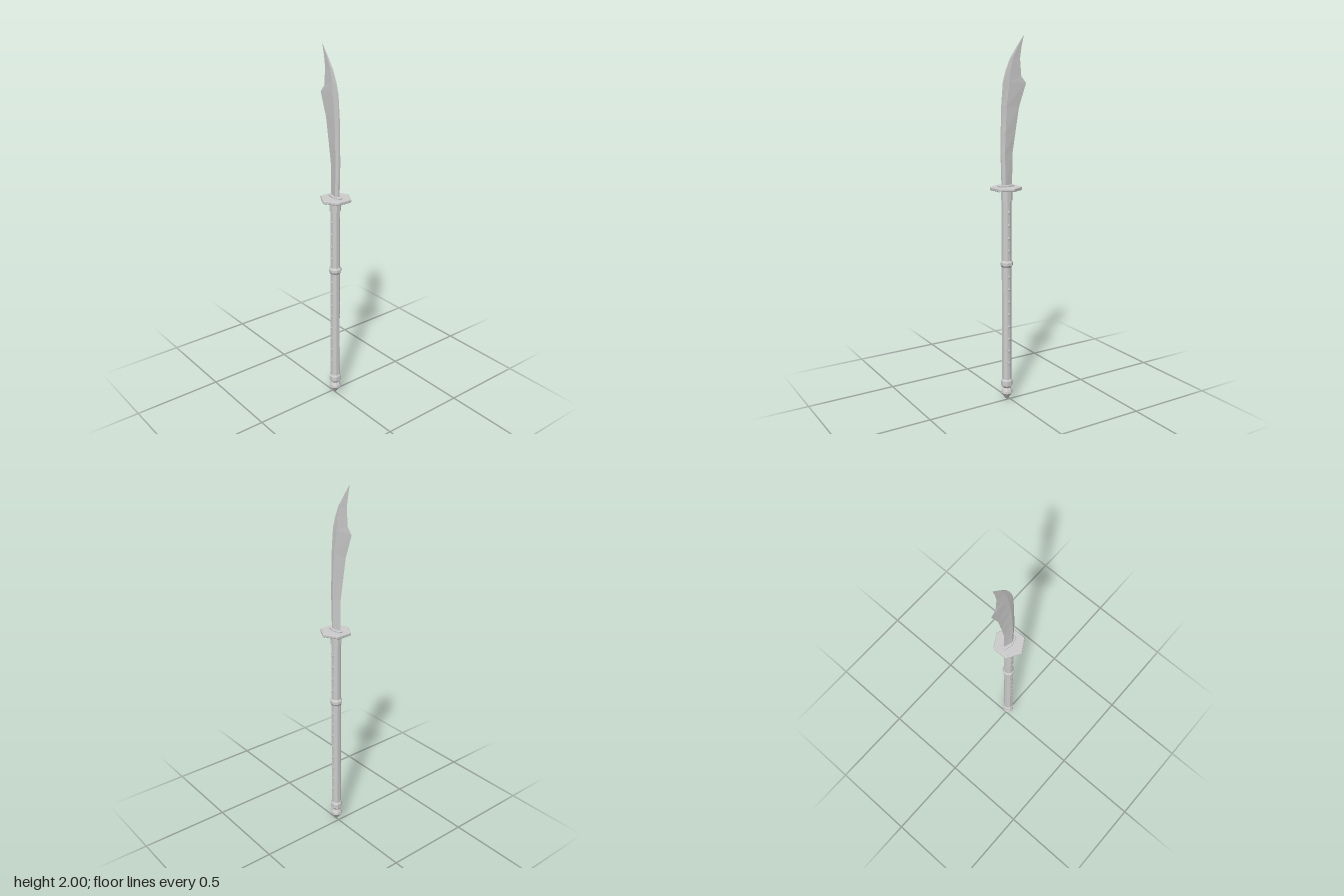
import * as THREE from 'three';

const CX = 0.021; // shaft axis

const material = new THREE.MeshStandardMaterial({ color: 0xcccccc, flatShading: true });

function addMesh(parent, name, geometry, x = 0, y = 0, z = 0) {
  const mesh = new THREE.Mesh(geometry, material);
  mesh.name = name;
  mesh.position.set(x, y, z);
  parent.add(mesh);
  return mesh;
}

// Octagonal turned part with a flat facing front; radii are measured to the flats
function octagonal(profile) {
  const k = 1 / Math.cos(Math.PI / 8);
  const points = profile.map(([r, y]) => new THREE.Vector2(r * k, y));
  return new THREE.LatheGeometry(points, 8, Math.PI / 8);
}

// Horizontal plate from an x/z outline, with its base at y = 0
function plate(outline, height, bevel) {
  const shape = new THREE.Shape(outline.map(([x, z]) => new THREE.Vector2(x, -z)));
  const geometry = new THREE.ExtrudeGeometry(shape, {
    depth: height - 2 * bevel, bevelEnabled: bevel > 0, bevelSegments: 1,
    bevelThickness: bevel, bevelSize: bevel, bevelOffset: -bevel,
  });
  return geometry.translate(0, 0, bevel).rotateX(-Math.PI / 2);
}

// Blade lofted from five-sided sections: edge, ridge and spine on each side
function bladeGeometry() {
  // edge x, edge y, spine x, spine y, half thickness at the ridge
  const rows = [
    [-0.013, 1.205, 0.049, 1.205, 0.013],
    [-0.017, 1.395, 0.055, 1.395, 0.012],
    [-0.034, 1.5, 0.054, 1.5, 0.011],
    [-0.056, 1.63, 0.051, 1.64, 0.009],
    [-0.1, 1.755, 0.041, 1.765, 0.007],
    [-0.07, 1.79, 0.025, 1.82, 0.006],
    [-0.062, 1.88, 0, 1.88, 0.004],
    [-0.071, 1.94, -0.043, 1.943, 0.002],
    [-0.085, 2, -0.085, 2, 0],
  ];
  const section = [[0, 0], [0.76, 1], [1, 0.45], [1, -0.45], [0.76, -1]];
  const n = section.length;
  const positions = [], index = [];
  for (const [ex, ey, sx, sy, t] of rows) {
    for (const [u, w] of section) {
      positions.push(ex + (sx - ex) * u, ey + (sy - ey) * u, t * w);
    }
  }
  for (let r = 0; r < rows.length - 1; r++) {
    for (let i = 0; i < n; i++) {
      const a = r * n + i, b = r * n + (i + 1) % n;
      index.push(a, b, b + n, a, b + n, a + n);
    }
  }
  for (let i = 1; i < n - 1; i++) index.push(0, i + 1, i); // base cap
  const geometry = new THREE.BufferGeometry();
  geometry.setAttribute('position', new THREE.Float32BufferAttribute(positions, 3));
  geometry.setIndex(index);
  geometry.computeVertexNormals();
  return geometry;
}

export function createModel() {
  const model = new THREE.Group();
  model.name = 'polearm';

  // Shaft and its fittings
  addMesh(model, 'shaft', octagonal([[0.025, 0.11], [0.025, 1.16]]), CX);
  addMesh(model, 'pommel', octagonal([
    [0, 0], [0.031, 0.045], [0.029, 0.058], [0.02, 0.076], [0.031, 0.09],
    [0.031, 0.118], [0.024, 0.13],
  ]), CX);
  addMesh(model, 'middleRing', octagonal([
    [0.024, 0.772], [0.032, 0.785], [0.032, 0.8], [0.024, 0.813],
  ]), CX);
  addMesh(model, 'topCollar', octagonal([
    [0.024, 1.14], [0.0285, 1.14], [0.0285, 1.2],
  ]), CX);

  // Diamond studs along the front and back of the grip
  const studs = new THREE.Group();
  studs.name = 'gripStuds';
  model.add(studs);
  const diamond = new THREE.OctahedronGeometry(1).scale(0.015, 0.021, 0.006);
  const addStuds = (count, bottom) => {
    for (let i = 0; i < count; i++) {
      for (const side of [1, -1]) {
        addMesh(studs, 'gripStud', diamond, CX, bottom + i * 0.0708, side * 0.023);
      }
    }
  };
  addStuds(8, 0.225);
  addStuds(4, 0.865);

  // Hexagonal guard with the blade collar above it
  const guard = [[0, 0.086], [0.075, 0.042], [0.075, -0.045], [0, -0.086], [-0.075, -0.042], [-0.075, 0.042]];
  addMesh(model, 'guard', plate(guard, 0.018, 0.003), 0.024, 1.197);
  const collar = [[0, 0.022], [0.046, 0.011], [0.046, -0.011], [0, -0.022], [-0.046, -0.011], [-0.046, 0.011]];
  addMesh(model, 'bladeCollar', plate(collar, 0.012, 0.002), 0.023, 1.212);

  addMesh(model, 'blade', bladeGeometry());
  return model;
}
